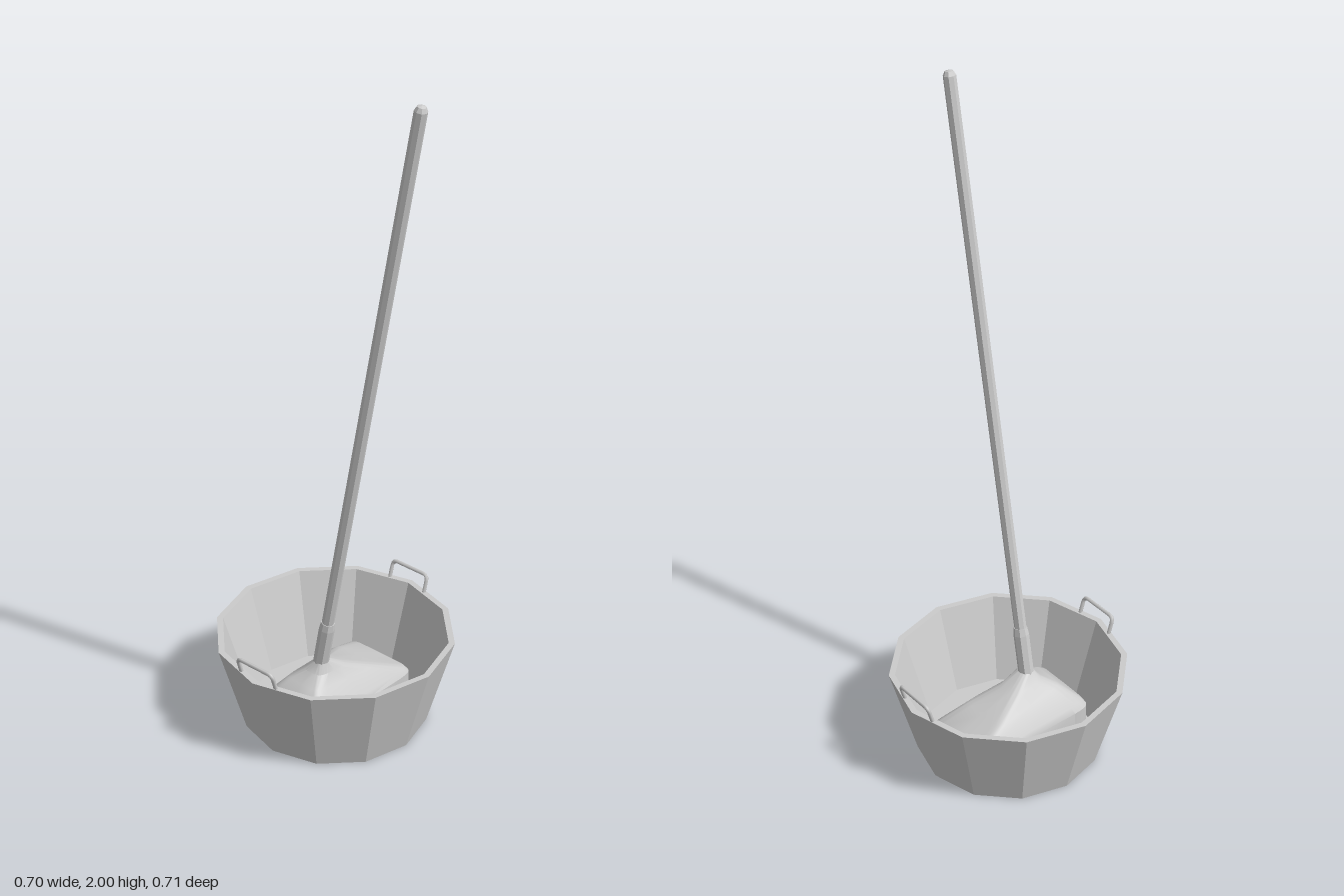
import * as THREE from 'three';
import { toCreasedNormals } from 'three/addons/utils/BufferGeometryUtils.js';

const flat = new THREE.MeshStandardMaterial({ color: 0xcccccc, flatShading: true });
const smooth = new THREE.MeshStandardMaterial({ color: 0xcccccc });
const CENTRE_Z = -0.008;

function addMesh(parent, name, geometry, material = flat) {
  const mesh = new THREE.Mesh(geometry, material);
  mesh.name = name;
  parent.add(mesh);
  return mesh;
}

const profile = (pairs) => pairs.map(([r, y]) => new THREE.Vector2(r, y));

// Wire grip: two leaning legs joined by a bar with rounded corners
function gripGeometry() {
  const v = (x, y, z) => new THREE.Vector3(x, y, z);
  const path = new THREE.CurvePath();
  const h = 0.065, b = 0.048;
  const legs = [v(0.316, 0.25, -h), v(0.333, 0.308, -h), v(0.338, 0.325, -h), v(0.338, 0.325, -b)];
  const far = legs.map((p) => v(p.x, p.y, -p.z)).reverse();
  path.add(new THREE.LineCurve3(legs[0], legs[1]));
  path.add(new THREE.QuadraticBezierCurve3(legs[1], legs[2], legs[3]));
  path.add(new THREE.LineCurve3(legs[3], far[0]));
  path.add(new THREE.QuadraticBezierCurve3(far[0], far[1], far[2]));
  path.add(new THREE.LineCurve3(far[2], far[3]));
  return new THREE.TubeGeometry(path, 36, 0.006, 6);
}

// Mop head: rounded rectangular rings lofted from the floor up to the socket
function mopHeadGeometry() {
  // left x, right x, half depth left, half depth right, y left, y right, roundness, z shift
  const rings = [
    [-0.216, 0.216, 0.118, 0.118, 0.02, 0.02, 0.2, 0],
    [-0.216, 0.216, 0.118, 0.118, 0.09, 0.075, 0.2, 0],
    [-0.205, 0.205, 0.108, 0.11, 0.108, 0.09, 0.2, 0],
    [-0.147, 0.1, 0.06, 0.078, 0.165, 0.138, 0.25, 0],
    [-0.11, 0.01, 0.035, 0.04, 0.188, 0.178, 0.5, 0.005],
    [-0.093, -0.049, 0.022, 0.022, 0.215, 0.215, 1, 0.012],
  ];
  const N = 32;
  const positions = [], index = [];
  const bend = (t, p) => Math.sign(t) * Math.pow(Math.abs(t), p);
  for (const [xL, xR, dL, dR, yL, yR, p, shift] of rings) {
    for (let i = 0; i < N; i++) {
      const a = (i / N) * Math.PI * 2;
      const t = (bend(Math.cos(a), p) + 1) / 2;
      positions.push(
        THREE.MathUtils.lerp(xL, xR, t),
        THREE.MathUtils.lerp(yL, yR, t),
        CENTRE_Z + shift + bend(Math.sin(a), p) * THREE.MathUtils.lerp(dL, dR, t)
      );
    }
  }
  for (let r = 0; r < rings.length - 1; r++) {
    for (let i = 0; i < N; i++) {
      const a = r * N + i, b = r * N + ((i + 1) % N), c = a + N, d = b + N;
      index.push(a, c, b, b, c, d);
    }
  }
  const geometry = new THREE.BufferGeometry();
  geometry.setAttribute('position', new THREE.Float32BufferAttribute(positions, 3));
  geometry.setIndex(index);
  return toCreasedNormals(geometry, 0.5);
}

export function createModel() {
  const model = new THREE.Group();
  model.name = 'mopAndBucket';

  // Twelve-sided tub with a recessed base
  const bucket = new THREE.Group();
  bucket.name = 'bucket';
  bucket.position.z = CENTRE_Z;
  model.add(bucket);
  addMesh(bucket, 'tub', new THREE.LatheGeometry(profile([
    [0, 0.012], [0.25, 0.012], [0.25, 0], [0.27, 0],
    [0.348, 0.275], [0.33, 0.275], [0.252, 0.02], [0, 0.02],
  ]), 12));

  // Grips on both sides
  const grip = gripGeometry();
  addMesh(bucket, 'leftGrip', grip, smooth);
  addMesh(bucket, 'rightGrip', grip, smooth).rotation.y = Math.PI;

  // Mop resting in the bucket, its pole leaning forward
  const mop = new THREE.Group();
  mop.name = 'mop';
  model.add(mop);
  addMesh(mop, 'mopHead', mopHeadGeometry(), smooth);

  const base = new THREE.Vector3(-0.072, 0.2, 0);
  const tip = new THREE.Vector3(-0.072, 1.997, 0.336);
  const length = base.distanceTo(tip);
  const pole = new THREE.Group();
  pole.name = 'pole';
  pole.position.copy(base);
  pole.rotation.x = Math.atan2(tip.z - base.z, tip.y - base.y);
  mop.add(pole);
  addMesh(pole, 'socket', new THREE.LatheGeometry(profile([
    [0.023, -0.02], [0.023, 0.135], [0.02, 0.158], [0.017, 0.158],
  ]), 8));
  addMesh(pole, 'handle', new THREE.LatheGeometry(profile([
    [0.018, 0], [0.018, length - 0.015], [0.012, length - 0.003], [0, length],
  ]), 8));

  return model;
}
